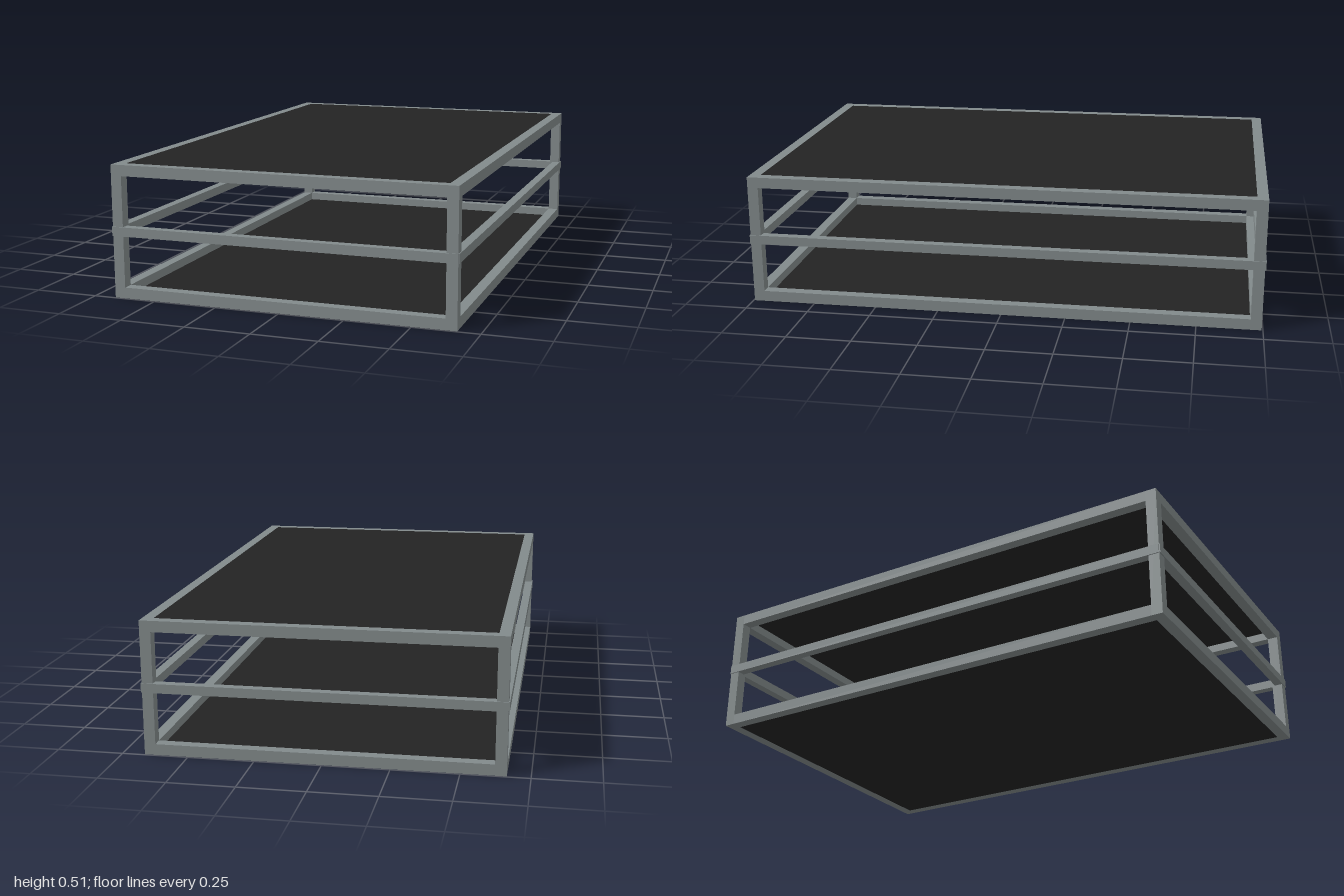
import * as THREE from 'three';

export function createModel() {
  const group = new THREE.Group();
  const steel = new THREE.MeshStandardMaterial({ color: 0x828a8b });
  steel.name = 'grey steel';
  const dark = new THREE.MeshStandardMaterial({ color: 0x232323 });
  dark.name = 'dark panel';

  const W = 1.33, H = 0.51, D = 1.99; // outer size of the frame
  const T = 0.042;                    // thickness of the main bars
  const R = 0.035;                    // thickness of the middle rails

  const box = (name, material, size, position) => {
    const mesh = new THREE.Mesh(new THREE.BoxGeometry(...size), material);
    mesh.name = name;
    mesh.position.set(...position);
    group.add(mesh);
  };

  // Corner posts, running the full height
  for (const sx of [-1, 1]) for (const sz of [-1, 1]) {
    box('cornerPost', steel, [T, H, T], [sx * (W - T) / 2, H / 2, sz * (D - T) / 2]);
  }

  // Bottom and top frames, fitted between the posts
  for (const [level, y] of [['bottom', T / 2], ['top', H - T / 2]]) {
    for (const s of [-1, 1]) {
      box(level + 'CrossBar', steel, [W - 2 * T, T, T], [0, y, s * (D - T) / 2]);
      box(level + 'SideBar', steel, [T, T, D - 2 * T], [s * (W - T) / 2, y, 0]);
    }
  }

  // Middle rails, standing slightly proud of the posts
  const railY = 0.257, proud = 0.004;
  for (const s of [-1, 1]) {
    box('middleCrossRail', steel, [W, R, R], [0, railY, s * (D / 2 + proud - R / 2)]);
    box('middleSideRail', steel, [R, R, D], [s * (W / 2 + proud - R / 2), railY, 0]);
  }

  // Thin panels set flush in the floor and the roof
  const P = 0.008;
  box('floorPanel', dark, [W - 2 * T, P, D - 2 * T], [0, P / 2, 0]);
  box('roofPanel', dark, [W - 2 * T, P, D - 2 * T], [0, H - P / 2, 0]);

  return group;
}
